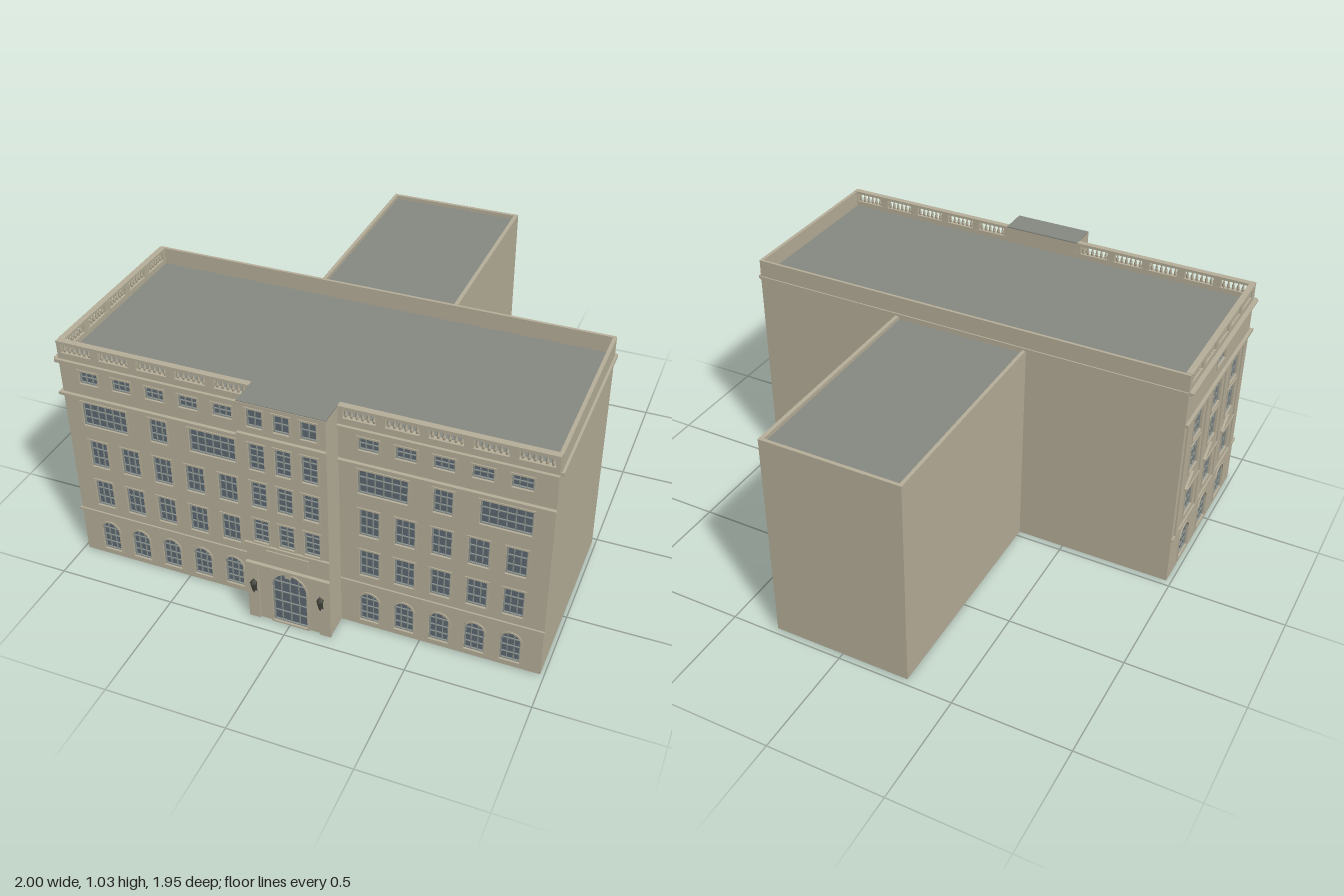
import * as THREE from 'three';
import { mergeGeometries } from 'three/addons/utils/BufferGeometryUtils.js';

export function createModel() {
  const mat = (name, color) => Object.assign(new THREE.MeshStandardMaterial({ color }), { name });
  const stone = mat('stone', 0xb5ad98);
  const roofGrey = mat('roof grey', 0x868881);
  const glass = mat('window glass', 0x5a6870);
  const frame = mat('window frame', 0x8c938f);
  const iron = mat('dark iron', 0x45463f);

  const model = new THREE.Group();
  model.name = 'building';

  const boxGeo = (x0, x1, y0, y1, z0, z1) =>
    new THREE.BoxGeometry(x1 - x0, y1 - y0, z1 - z0)
      .translate((x0 + x1) / 2, (y0 + y1) / 2, (z0 + z1) / 2).toNonIndexed();
  const add = (name, material, geos, parent = model) => {
    const list = [].concat(geos).map((g) => (g.index ? g.toNonIndexed() : g));
    const mesh = new THREE.Mesh(mergeGeometries(list), material);
    mesh.name = name;
    parent.add(mesh);
    return mesh;
  };
  const box = (name, material, ...b) => add(name, material, boxGeo(...b));

  // Outline of a rectangular or round-headed opening, grown by e
  const outline = ({ x, w, y0, y1, arch }, e = 0) => {
    const s = new THREE.Shape(), r = w / 2 + e;
    s.moveTo(x - r, y0 - e);
    s.lineTo(x + r, y0 - e);
    if (arch) {
      s.lineTo(x + r, y1 - w / 2);
      s.absarc(x, y1 - w / 2, r, 0, Math.PI, false);
    } else {
      s.lineTo(x + r, y1 + e);
      s.lineTo(x - r, y1 + e);
    }
    s.closePath();
    return s;
  };
  const extrude = (shape, z0, z1) =>
    new THREE.ExtrudeGeometry(shape, { depth: z1 - z0, bevelEnabled: false, curveSegments: 10 }).translate(0, 0, z0);
  const ring = (o, outer, inner, z0, z1) => {
    const s = outline(o, outer);
    s.holes.push(outline(o, inner));
    return extrude(s, z0, z1);
  };

  // Wall slab with its outer face on local z = 0, pierced and glazed
  const facade = (name, x0, x1, y1, openings) => {
    const g = new THREE.Group();
    g.name = name;
    const wall = new THREE.Shape([[x0, 0], [x1, 0], [x1, y1], [x0, y1]].map((p) => new THREE.Vector2(...p)));
    const trims = [], bars = [], panes = [];
    for (const o of openings) {
      wall.holes.push(outline(o));
      trims.push(ring(o, 0.007, 0, -0.002, 0.004));
      bars.push(ring(o, 0, -0.005, -0.012, -0.005));
      panes.push(extrude(outline(o), -0.019, -0.012));
      const left = o.x - o.w / 2, h = o.y1 - o.y0;
      for (let i = 1; i < o.cols; i++) {
        const x = left + (o.w * i) / o.cols;
        const drop = o.arch ? o.w / 2 - Math.sqrt((o.w / 2) ** 2 - (x - o.x) ** 2) : 0;
        bars.push(boxGeo(x - 0.0018, x + 0.0018, o.y0, o.y1 - drop, -0.012, -0.007));
      }
      for (let i = 1; i < o.rows; i++) {
        const y = o.y0 + (h * i) / o.rows;
        const rise = o.arch ? Math.max(0, y - (o.y1 - o.w / 2)) : 0;
        const half = Math.sqrt((o.w / 2) ** 2 - rise ** 2);
        bars.push(boxGeo(o.x - half, o.x + half, y - 0.0015, y + 0.0015, -0.012, -0.007));
      }
    }
    add(name + ' wall', stone, extrude(wall, -0.02, 0), g);
    add(name + ' surrounds', stone, trims, g);
    add(name + ' window frames', frame, bars, g);
    add(name + ' window panes', glass, panes, g);
    model.add(g);
    return g;
  };
  const win = (x, w, y0, y1, cols = 3, rows = 3, arch = false) => ({ x, w, y0, y1, cols, rows, arch });

  // Main block, rear wing and roofs
  box('mainBlock', stone, -0.96, 0.985, 0, 0.95, 0.025, 0.815);
  box('mainRoof', roofGrey, -0.958, 0.975, 0.95, 0.956, 0.035, 0.815);
  box('rearWing', stone, -0.295, 0.305, 0, 0.92, -0.975, 0.03);
  box('wingRoof', roofGrey, -0.283, 0.29, 0.92, 0.925, -0.963, 0.025);
  add('wingParapet', stone, [
    boxGeo(-0.295, -0.28, 0.92, 0.942, -0.975, 0.025),
    boxGeo(0.288, 0.305, 0.92, 0.942, -0.975, 0.025),
    boxGeo(-0.28, 0.288, 0.92, 0.942, -0.975, -0.96)]);

  // Front wall: mirrored rows of windows
  const front = [];
  for (const s of [-1, 1]) {
    for (let i = 0; i < 5; i++) {
      const x = 0.002 + s * (0.291 + i * 0.142);
      front.push(win(x, 0.08, 0.857, 0.912, 3, 2), win(x, 0.08, 0.458, 0.585),
        win(x, 0.08, 0.26, 0.387), win(x, 0.08, 0.027, 0.17, 3, 4, true));
    }
    front.push(win(0.002 + s * 0.345, 0.195, 0.658, 0.767, 6), win(0.002 + s * 0.575, 0.075, 0.658, 0.767),
      win(0.002 + s * 0.81, 0.195, 0.658, 0.767, 6));
  }
  facade('front', -0.98, 0.985, 0.95, front).position.z = 0.835;

  // Ornamented end wall with three window bays
  const end = [win(0.43, 0.1, 0.86, 0.905, 3, 2)];
  for (const u of [0.2, 0.43, 0.66]) {
    end.push(win(u, 0.11, 0.03, 0.18, 3, 4, true), win(u, 0.1, 0.26, 0.4),
      win(u, 0.1, 0.48, 0.615), win(u, 0.1, 0.645, 0.765));
  }
  const endWall = facade('end', 0.025, 0.815, 0.95, end);
  endWall.position.x = -0.98;
  endWall.rotation.y = -Math.PI / 2;
  for (const u of [0.2, 0.43, 0.66]) {
    const tri = new THREE.Shape([[-0.075, 0.42], [0.075, 0.42], [0, 0.465]].map(([x, y]) => new THREE.Vector2(u + x, y)));
    add('pediment', stone, [extrude(tri, 0, 0.01), boxGeo(u - 0.075, u + 0.075, 0.41, 0.42, 0, 0.014)], endWall);
  }
  add('endPilasters', stone, [0.075, 0.315, 0.545, 0.775].map((u) =>
    boxGeo(u - 0.018, u + 0.018, 0.22, 0.785, 0, 0.006)), endWall);

  // Belt courses, cornice and dentils
  const belts = [], dentils = [];
  for (const [y0, y1, d] of [[0.21, 0.222, 0.007], [0.79, 0.802, 0.014], [0.938, 0.952, 0.012]]) {
    belts.push(boxGeo(-0.98 - d, -0.17, y0, y1, 0.835, 0.835 + d), boxGeo(0.175, 0.987, y0, y1, 0.835, 0.835 + d),
      boxGeo(-0.98 - d, -0.98, y0, y1, 0.025, 0.835));
  }
  belts.push(boxGeo(0.985, 0.997, 0.938, 0.952, 0.025, 0.82), boxGeo(-0.98, 0.985, 0.938, 0.952, 0.019, 0.025),
    boxGeo(-1, -0.98, 0.945, 0.952, 0.025, 0.835));
  for (let x = 0.185; x < 0.975; x += 0.02) {
    for (const s of [-1, 1]) dentils.push(boxGeo(s * x - 0.005, s * x + 0.005, 0.781, 0.79, 0.835, 0.842));
  }
  for (let z = 0.04; z < 0.83; z += 0.02) dentils.push(boxGeo(-0.987, -0.98, 0.781, 0.79, z - 0.005, z + 0.005));
  add('beltCourses', stone, belts);
  add('dentils', stone, dentils);

  // Solid parapets at the back and the plain end
  add('parapet', stone, [boxGeo(-0.98, 0.985, 0.95, 1.028, 0.025, 0.037), boxGeo(0.972, 0.987, 0.95, 1.028, 0.037, 0.815)]);

  // Open balustrades: plinth, rail, piers and turned balusters
  const profile = [[0.003, 0], [0.006, 0.006], [0.007, 0.014], [0.003, 0.027], [0.005, 0.04]];
  const baluster = new THREE.LatheGeometry(profile.map((p) => new THREE.Vector2(...p)), 8);
  const balustrade = (name, length, bays) => {
    const g = new THREE.Group();
    g.name = name;
    const bay = length / bays, pier = 0.034;
    const solid = [boxGeo(0, length, 0.95, 0.979, -0.022, 0), boxGeo(0, length, 1.018, 1.03, -0.024, 0.002)];
    const turned = [];
    for (let i = 0; i <= bays; i++) {
      const a = Math.max(0, i * bay - pier / 2), b = Math.min(length, i * bay + pier / 2);
      solid.push(boxGeo(a, b, 0.979, 1.018, -0.021, 0));
      if (i === bays) continue;
      const n = Math.round((bay - pier) / 0.02);
      for (let k = 0; k < n; k++) {
        turned.push(baluster.clone().translate(i * bay + pier / 2 + ((k + 0.5) * (bay - pier)) / n, 0.979, -0.011));
      }
    }
    add(name + ' rails', stone, solid, g);
    add(name + ' balusters', stone, turned, g);
    model.add(g);
    return g;
  };
  balustrade('leftBalustrade', 0.81, 5).position.set(0.175, 0, 0.835);
  balustrade('rightBalustrade', 0.81, 5).position.set(-0.98, 0, 0.835);
  const side = balustrade('endBalustrade', 0.775, 5);
  side.position.set(-0.98, 0, 0.037);
  side.rotation.y = -Math.PI / 2;

  // Entrance tower
  box('towerCore', stone, -0.17, 0.175, 0, 1.026, 0.812, 0.92);
  box('towerRoof', roofGrey, -0.17, 0.175, 1.026, 1.031, 0.812, 0.938);
  const tower = [win(0.003, 0.146, 0.004, 0.258, 4, 5, true)];
  for (const x of [-0.102, 0.003, 0.108]) {
    tower.push(win(x, 0.064, 0.928, 1.006, 2, 2), win(x, 0.064, 0.735, 0.855, 2, 4),
      win(x, 0.064, 0.56, 0.68, 2, 4), win(x, 0.064, 0.392, 0.502, 2, 4));
  }
  facade('tower', -0.17, 0.175, 1.028, tower).position.z = 0.94;
  add('towerMouldings', stone, [
    boxGeo(-0.172, 0.177, 0.885, 0.9, 0.94, 0.953),
    boxGeo(-0.172, 0.177, 0.373, 0.384, 0.94, 0.95),
    boxGeo(-0.172, 0.177, 0.276, 0.287, 0.94, 0.955),
    boxGeo(-0.172, -0.125, 0, 0.276, 0.94, 0.948),
    boxGeo(0.13, 0.177, 0, 0.276, 0.94, 0.948)]);
  box('carvedPanel', stone, -0.085, 0.09, 0.305, 0.36, 0.94, 0.945);
  box('keystone', stone, -0.009, 0.015, 0.248, 0.276, 0.94, 0.95);

  // Wall lanterns beside the door
  const lampProfile = [[0, 0], [0.004, 0.008], [0.007, 0.018], [0.013, 0.05], [0.015, 0.053], [0.007, 0.064], [0.003, 0.068], [0, 0.076]];
  for (const x of [-0.138, 0.142]) {
    add('lantern', iron, [
      new THREE.LatheGeometry(lampProfile.map((p) => new THREE.Vector2(...p)), 6).translate(x, 0.142, 0.963),
      boxGeo(x - 0.003, x + 0.003, 0.15, 0.157, 0.946, 0.963),
      boxGeo(x - 0.006, x + 0.006, 0.143, 0.175, 0.946, 0.951)]);
  }
  return model;
}
